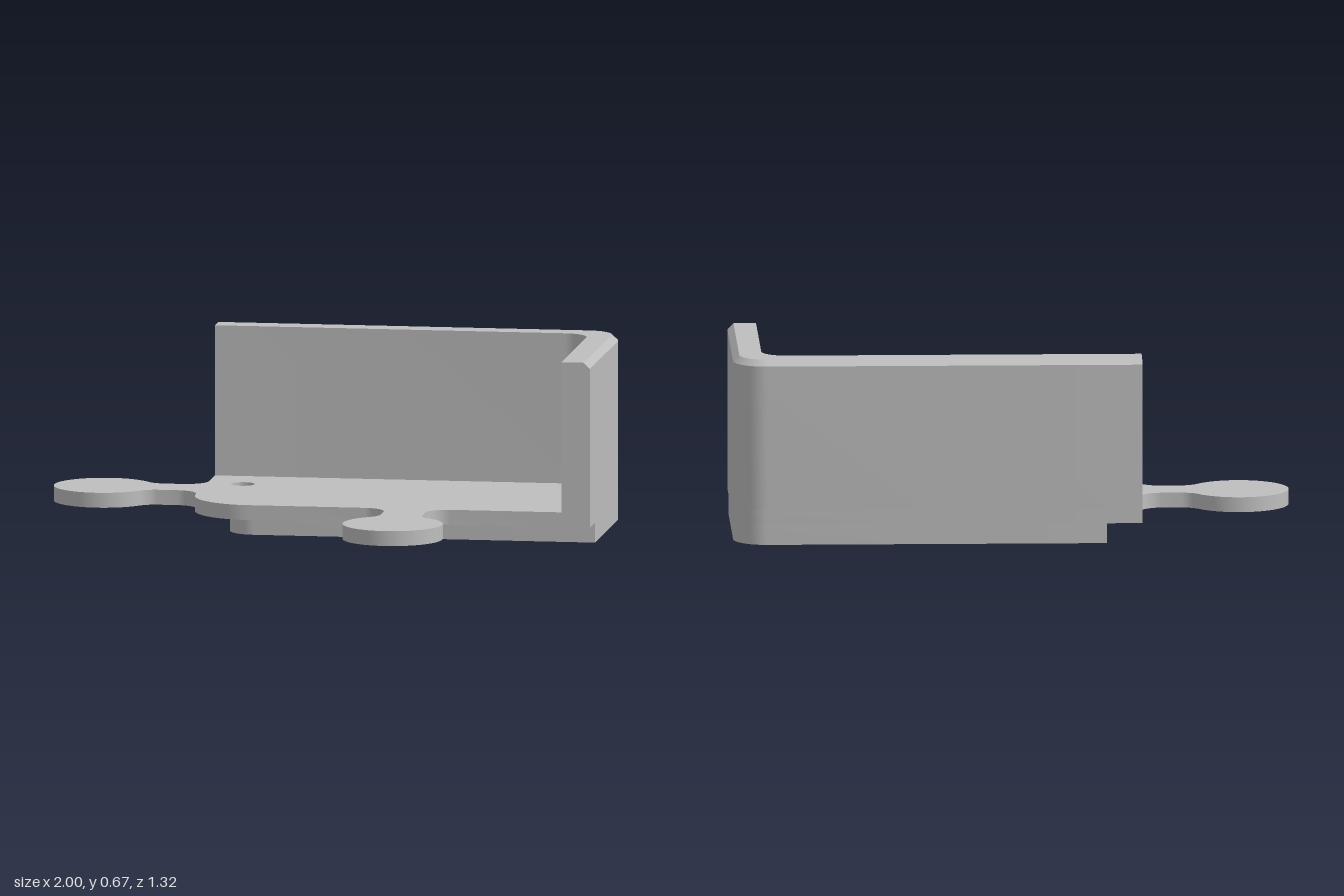
import * as THREE from 'three';
import { toCreasedNormals } from 'three/addons/utils/BufferGeometryUtils.js';

// Outlines are drawn in plan as (x, -z), counter-clockwise.
const LEFT = -0.463, RIGHT = 1, BACK = 0.664, FRONT = -0.122;
const PLATE_Y = 0.072, PLATE_TOP = 0.126, TOP = 0.67, CHAMFER = 0.022, WALL = 0.103;
const CORNER = 0.12, INNER = 0.09;
const HOLE = { x: -0.333, y: 0.373, r: 0.043 };
const PI = Math.PI;

const P = (x, y) => new THREE.Vector2(x, y);

function arc(cx, cy, r, a0, a1, n = 12) {
  return Array.from({ length: n + 1 }, (_, i) => {
    const a = a0 + (a1 - a0) * i / n;
    return P(cx + r * Math.cos(a), cy + r * Math.sin(a));
  });
}

// Round tab on a filleted neck; the local +x axis points to the plate
function tab(cx, cy, angle) {
  const disc = 0.18, reach = 0.357, fillet = 0.08, v = 0.075 + fillet;
  const u = Math.sqrt((disc + fillet) ** 2 - v * v), a = Math.atan2(v, u);
  const half = [
    ...arc(reach - fillet, v, fillet, 0, -PI / 2),
    ...arc(u, v, fillet, -PI / 2, a - PI),
  ];
  const mirrored = half.map(p => P(p.x, -p.y)).reverse();
  const round = arc(0, 0, disc, a, 2 * PI - a, 48).slice(1, -1);
  return [...half, ...round, ...mirrored]
    .map(p => p.rotateAround(P(0, 0), angle).add(P(cx, cy)));
}

function slab(shape, y0, y1) {
  const g = new THREE.ExtrudeGeometry(shape, { depth: y1 - y0, bevelEnabled: false, curveSegments: 24 });
  g.rotateX(-PI / 2).translate(0, y0, 0);
  return toCreasedNormals(g, 0.5);
}

const backCorner = () => arc(RIGHT - CORNER, BACK - CORNER, CORNER, 0, PI / 2);

// Plate with two tabs, a large rounded corner and a through hole
function plateGeometry() {
  const r = 0.225;
  const shape = new THREE.Shape([
    ...tab(0.34, FRONT - 0.357, PI / 2),
    P(RIGHT, FRONT), ...backCorner(), P(LEFT, BACK),
    ...tab(LEFT - 0.357, 0.267, 0),
    ...arc(LEFT + r, FRONT + r, r, PI, 1.5 * PI, 20),
  ]);
  shape.holes.push(new THREE.Path().absarc(HOLE.x, HOLE.y, HOLE.r, 0, 2 * PI, true));
  return slab(shape, PLATE_Y, PLATE_TOP);
}

// Base block set in from the plate, with the hole cutting into its edge
function baseGeometry() {
  const x0 = -0.337, y0 = 0.002, r = 0.1;
  const a = Math.acos((x0 - HOLE.x) / HOLE.r);
  return slab(new THREE.Shape([
    P(RIGHT, y0), ...backCorner(), P(x0, BACK),
    ...arc(HOLE.x, HOLE.y, HOLE.r, a, -a, 20),
    ...arc(x0 + r, y0 + r, r, PI, 1.5 * PI),
  ]), 0, PLATE_Y);
}

// L-shaped wall: five-point sections along the path, chamfered outer top edge
function wallGeometry() {
  const path = (inset, r) => [
    P(LEFT, BACK - inset),
    ...arc(RIGHT - inset - r, BACK - inset - r, r, PI / 2, 0),
    P(RIGHT - inset, FRONT),
  ];
  const outer = path(0, CORNER), rim = path(CHAMFER, CORNER - CHAMFER), inner = path(WALL, INNER);
  const at = (p, y) => [p.x, y, -p.y];
  const sections = outer.map((o, i) => [
    at(o, PLATE_TOP), at(o, TOP - CHAMFER), at(rim[i], TOP), at(inner[i], TOP), at(inner[i], PLATE_TOP),
  ]);
  const pos = [];
  const tri = (...pts) => pts.forEach(p => pos.push(...p));
  for (let i = 0; i < sections.length - 1; i++) {
    const s = sections[i], t = sections[i + 1];
    for (let k = 0; k < 5; k++) {
      const n = (k + 1) % 5;
      tri(s[k], s[n], t[n]);
      tri(s[k], t[n], t[k]);
    }
  }
  const first = sections[0], last = sections[sections.length - 1];
  for (let k = 1; k < 4; k++) {
    tri(first[0], first[k + 1], first[k]);
    tri(last[0], last[k], last[k + 1]);
  }
  const g = new THREE.BufferGeometry();
  g.setAttribute('position', new THREE.Float32BufferAttribute(pos, 3));
  return toCreasedNormals(g, 0.5);
}

export function createModel() {
  const grey = new THREE.MeshStandardMaterial({ color: 0xbebebe });
  grey.name = 'light grey';
  const model = new THREE.Group();
  model.name = 'cornerBracket';
  const parts = { tabbedPlate: plateGeometry(), baseBlock: baseGeometry(), cornerWall: wallGeometry() };
  for (const [name, geometry] of Object.entries(parts)) {
    const mesh = new THREE.Mesh(geometry, grey);
    mesh.name = name;
    model.add(mesh);
  }
  return model;
}
